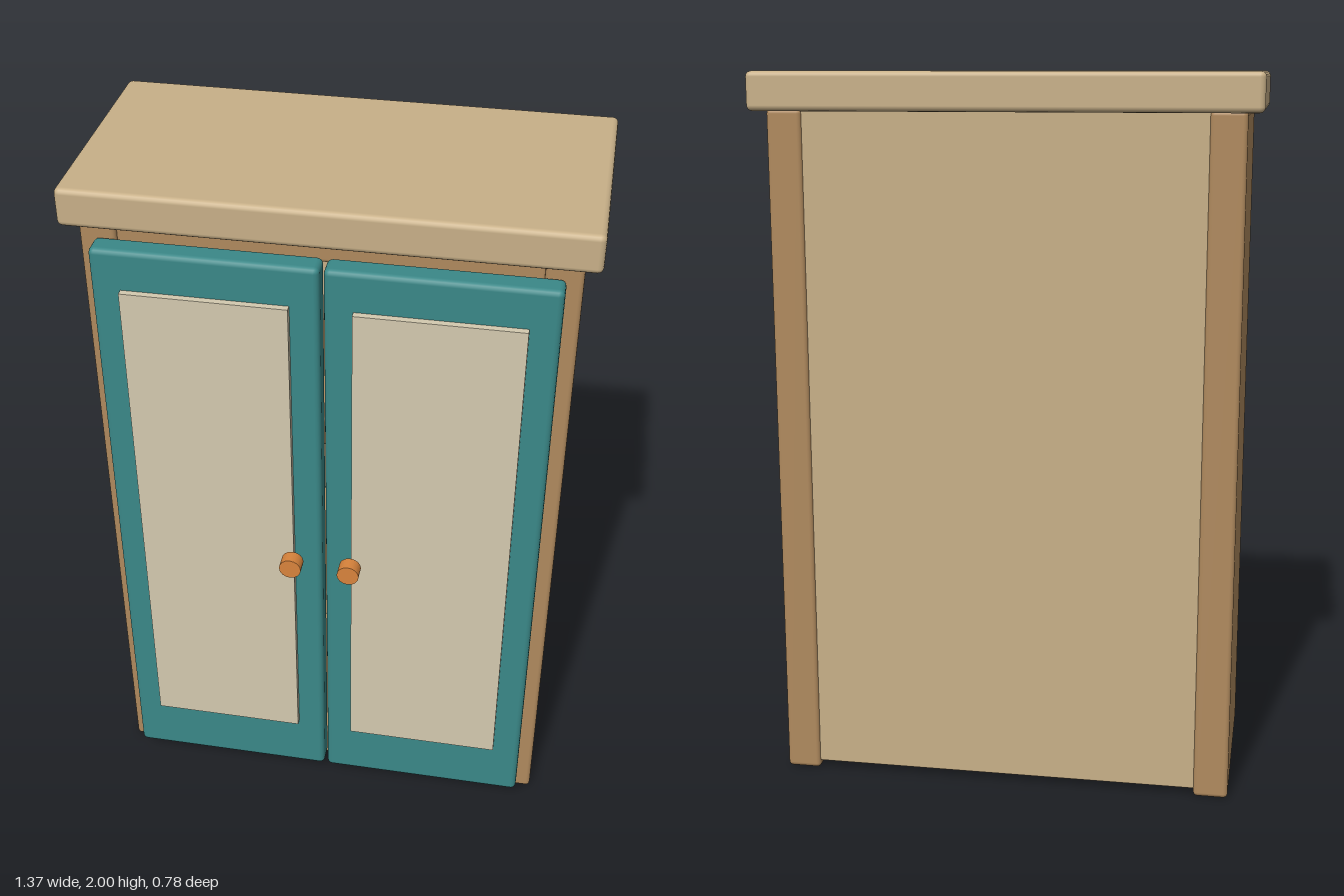
import * as THREE from 'three';
import { RoundedBoxGeometry } from 'three/addons/geometries/RoundedBoxGeometry.js';

const material = (color) => new THREE.MeshStandardMaterial({ color });

export function createModel() {
  const cabinet = new THREE.Group();
  cabinet.name = 'cabinet';
  const wood = material(0xb08a5e);
  const paleWood = material(0xc8b088);
  const paint = material(0x3a8888);
  const inset = material(0xd4cab0);
  const knobWood = material(0xd9843c);

  // Box given by its extents on each axis; radius 0 keeps sharp edges
  function board(name, [x0, x1], [y0, y1], [z0, z1], mat, radius = 0.012) {
    const size = [x1 - x0, y1 - y0, z1 - z0];
    const geometry = radius
      ? new RoundedBoxGeometry(...size, 2, radius)
      : new THREE.BoxGeometry(...size);
    const mesh = new THREE.Mesh(geometry, mat);
    mesh.name = name;
    mesh.position.set((x0 + x1) / 2, (y0 + y1) / 2, (z0 + z1) / 2);
    cabinet.add(mesh);
  }

  // Carcass
  board('topSlab', [-0.685, 0.685], [1.895, 2], [-0.39, 0.285], paleWood, 0.015);
  board('backPanel', [-0.55, 0.55], [0.02, 1.9], [-0.342, -0.3], paleWood, 0.005);
  board('bottomBoard', [-0.55, 0.55], [0.02, 0.125], [-0.335, 0.235], wood);
  board('topBoard', [-0.55, 0.55], [1.83, 1.91], [-0.335, 0.235], wood);

  // Inner shelves
  for (const y of [0.59, 1.23]) {
    board('shelf', [-0.55, 0.55], [y, y + 0.093], [-0.31, 0.2], wood);
  }

  // Sides, doors, door insets and knobs, mirrored about x = 0
  for (const [side, s] of [['left', 1], ['right', -1]]) {
    const span = (a, b) => (s > 0 ? [a, b] : [-b, -a]);
    board(side + 'Side', span(0.545, 0.642), [0, 1.9], [-0.35, 0.245], wood);
    board(side + 'Door', span(0.005, 0.6), [0.055, 1.857], [0.245, 0.316], paint, 0.015);
    board(side + 'DoorInset', span(0.082, 0.522), [0.243, 1.745], [0.29, 0.335], inset, 0);

    const knob = new THREE.Mesh(new THREE.CylinderGeometry(0.031, 0.031, 0.04, 16), knobWood);
    knob.name = side + 'Knob';
    knob.rotation.x = Math.PI / 2;
    knob.position.set(s * 0.082, 0.93, 0.371);
    cabinet.add(knob);
  }
  return cabinet;
}
